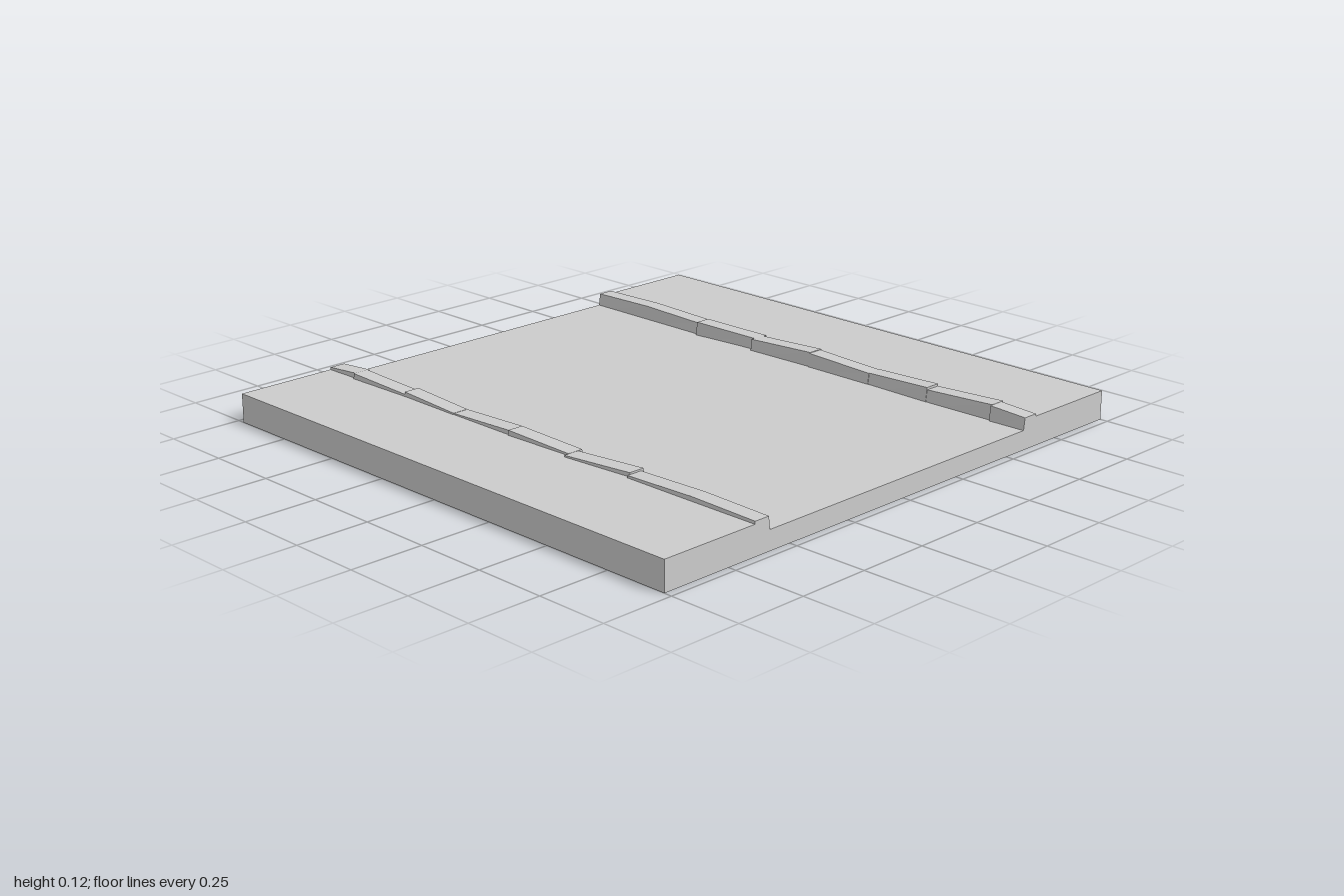
import * as THREE from 'three';

const HALF_DEPTH = 0.973;
const material = new THREE.MeshStandardMaterial({ color: 0xcccccc, flatShading: true });

// One kerb stone: a box with tapered sides, slightly turned and tilted along its length
function kerbStone([z0, z1, x0, x1, top0, top1]) {
  const geometry = new THREE.BoxGeometry(1, 1, 1);
  const p = geometry.attributes.position;
  for (let i = 0; i < p.count; i++) {
    const far = p.getZ(i) > 0;
    const upper = p.getY(i) > 0;
    const x = (far ? x1 : x0) + Math.sign(p.getX(i)) * (upper ? 0.028 : 0.035);
    p.setXYZ(i, x, upper ? (far ? top1 : top0) : 0.05, far ? z1 : z0);
  }
  geometry.computeVertexNormals();
  const mesh = new THREE.Mesh(geometry, material);
  mesh.name = 'kerbStone';
  return mesh;
}

// Start z, end z, start x, end x, start height, end height
const STONES = [
  [-0.973, -0.725, 0.617, 0.617, 0.108, 0.113],
  [-0.725, -0.46, 0.617, 0.617, 0.113, 0.106],
  [-0.46, -0.2, 0.607, 0.629, 0.112, 0.104],
  [-0.2, 0.065, 0.613, 0.621, 0.105, 0.115],
  [0.065, 0.33, 0.617, 0.617, 0.113, 0.103],
  [0.33, 0.58, 0.619, 0.614, 0.104, 0.114],
  [0.58, 0.84, 0.615, 0.62, 0.106, 0.117],
  [0.84, 0.973, 0.612, 0.616, 0.116, 0.107],
];

export function createModel() {
  const model = new THREE.Group();
  model.name = 'roadSection';

  // Slab with raised pavements on both sides of a sunken carriageway
  const profile = new THREE.Shape([
    [-1, 0], [1, 0], [1, 0.099], [0.62, 0.099], [0.62, 0.066],
    [-0.62, 0.066], [-0.62, 0.099], [-1, 0.099],
  ].map(([x, y]) => new THREE.Vector2(x, y)));
  const slab = new THREE.Mesh(
    new THREE.ExtrudeGeometry(profile, { depth: 2 * HALF_DEPTH, bevelEnabled: false }), material);
  slab.position.z = -HALF_DEPTH;
  slab.name = 'roadAndPavements';
  model.add(slab);

  // The same kerb row on each side, the second turned half a circle
  for (const [name, turn] of [['leftKerb', 0], ['rightKerb', Math.PI]]) {
    const kerb = new THREE.Group();
    kerb.name = name;
    kerb.rotation.y = turn;
    STONES.forEach((stone) => kerb.add(kerbStone(stone)));
    model.add(kerb);
  }
  return model;
}
